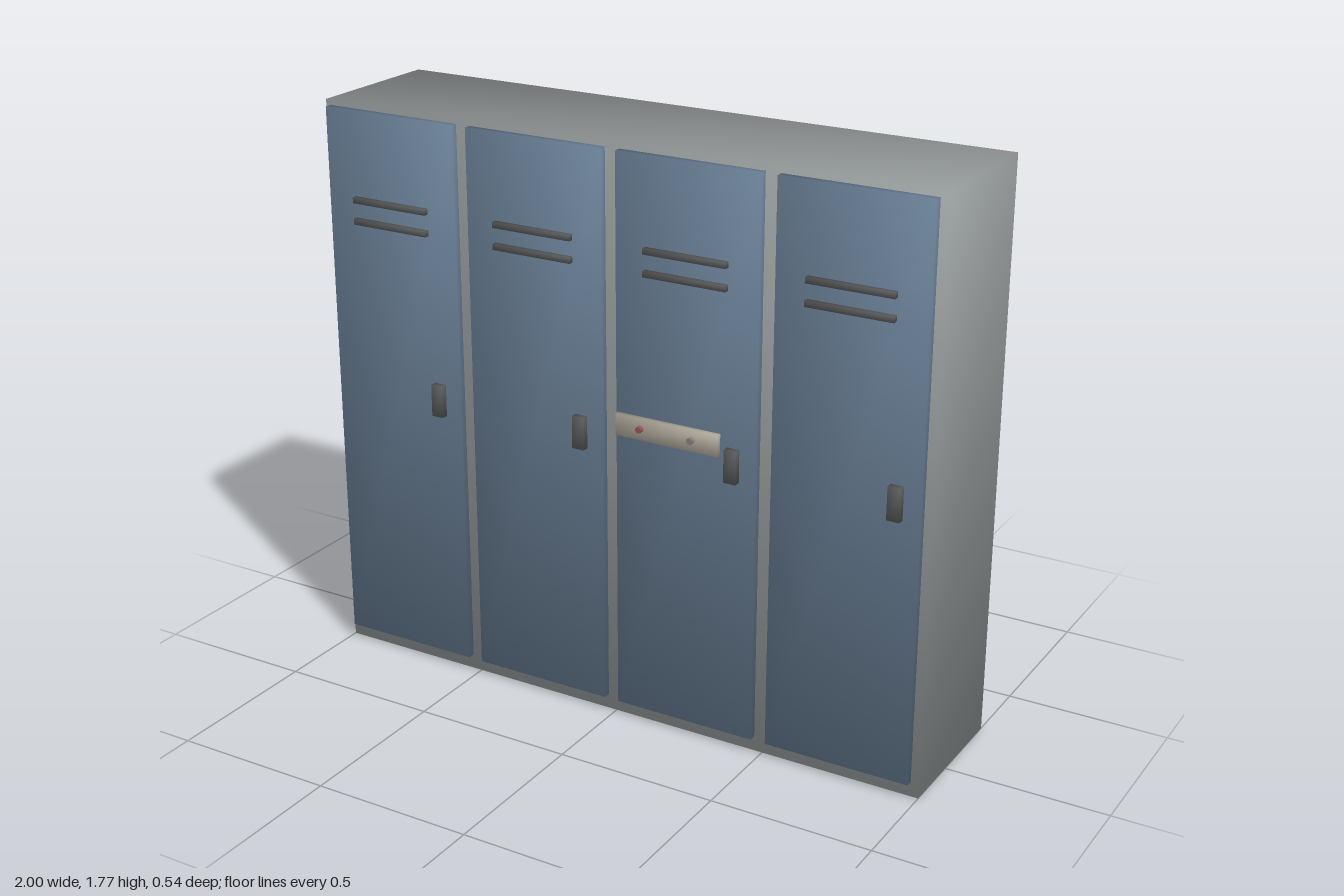
import * as THREE from 'three';

const paint = (color) => new THREE.MeshStandardMaterial({ color });

// Box between two corners, with normals blended across its edges
function softBox(name, material, [x0, y0, z0], [x1, y1, z1]) {
  const geometry = new THREE.BoxGeometry(x1 - x0, y1 - y0, z1 - z0);
  const { position, normal } = geometry.attributes;
  const n = new THREE.Vector3();
  for (let i = 0; i < position.count; i++) {
    n.fromBufferAttribute(position, i);
    n.set(Math.sign(n.x), Math.sign(n.y), Math.sign(n.z)).normalize();
    normal.setXYZ(i, n.x, n.y, n.z);
  }
  const mesh = new THREE.Mesh(geometry, material);
  mesh.name = name;
  mesh.position.set((x0 + x1) / 2, (y0 + y1) / 2, (z0 + z1) / 2);
  return mesh;
}

export function createModel() {
  const model = new THREE.Group();
  model.name = 'lockerBank';

  const bodyPaint = paint(0x959a9b);
  const doorPaint = paint(0x667b91);
  const darkMetal = paint(0x58595a);
  const plateMetal = paint(0xb0a99c);

  // Cabinet body
  model.add(softBox('cabinet', bodyPaint, [-1, 0, -0.27], [1, 1.775, 0.191]));

  // Four lockers: door, two vent slats and a handle each
  for (let i = 0; i < 4; i++) {
    const x = -0.753 + i * 0.501;
    const locker = new THREE.Group();
    locker.name = 'locker' + (i + 1);
    locker.position.x = x;
    locker.add(softBox('door', doorPaint, [-0.227, 0.05, 0.196], [0.227, 1.76, 0.219]));
    for (const y of [1.425, 1.491]) {
      locker.add(softBox('ventSlat', darkMetal, [-0.131, y - 0.009, 0.217], [0.131, y + 0.009, 0.235]));
    }
    locker.add(softBox('handle', darkMetal, [0.135, 0.857, 0.217], [0.174, 0.957, 0.24]));
    model.add(locker);
  }

  // Plate standing off the third door
  const plate = new THREE.Group();
  plate.name = 'namePlate';
  plate.add(softBox('plate', plateMetal, [0.042, 0.938, 0.243], [0.375, 1.004, 0.258]));

  // Two round studs on the plate
  [[0.125, 0x9a5552], [0.291, 0x85827c]].forEach(([x, color]) => {
    const stud = new THREE.Mesh(new THREE.CylinderGeometry(0.01, 0.01, 0.014, 12), paint(color));
    stud.name = 'stud';
    stud.rotation.x = Math.PI / 2;
    stud.position.set(x, 0.973, 0.264);
    plate.add(stud);
  });
  model.add(plate);

  return model;
}
